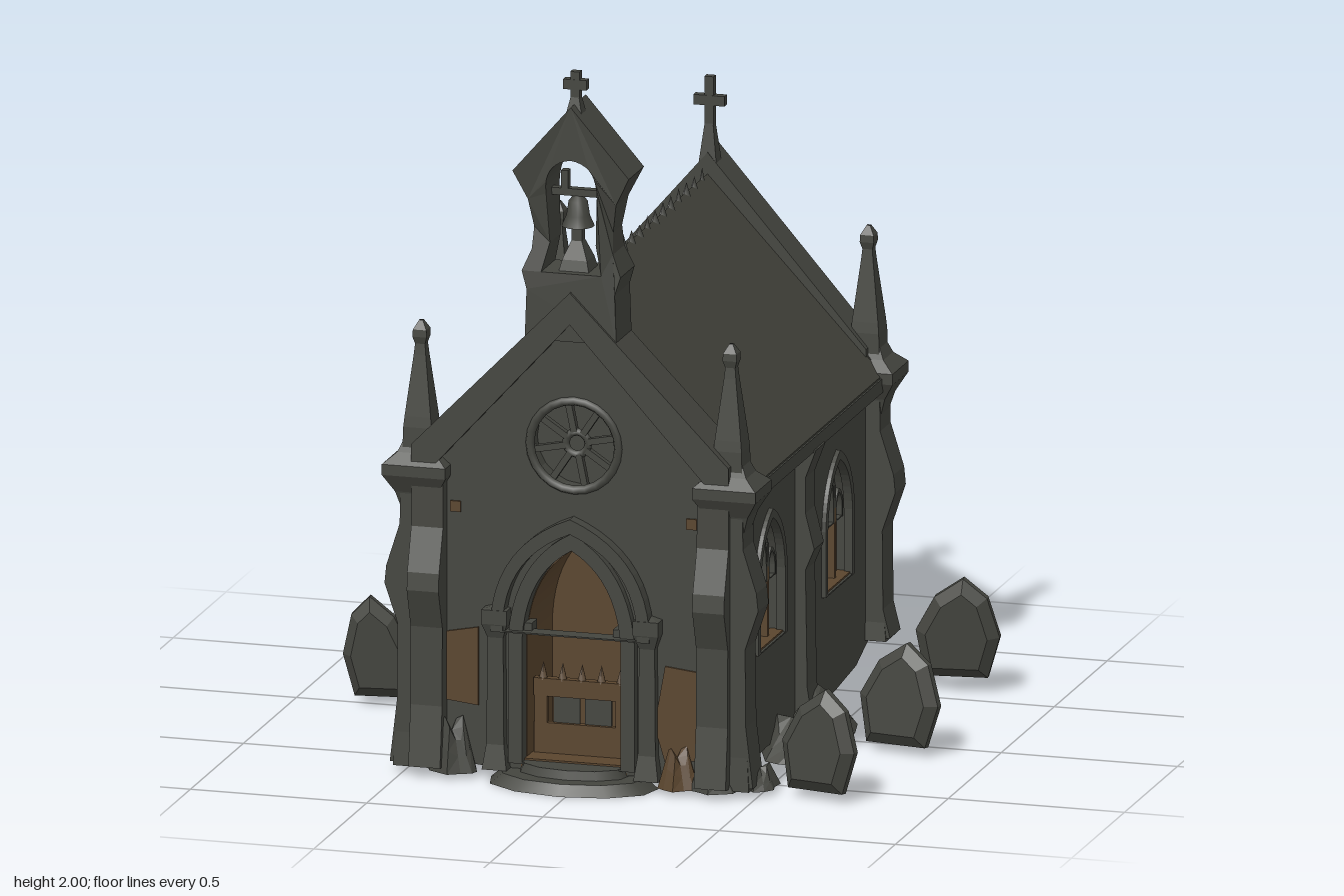
import * as THREE from 'three';

const mat = (name, color) => new THREE.MeshStandardMaterial({ name, color, side: THREE.DoubleSide });
const stone = mat('stone', 0x44453f);
const slate = mat('roofSlate', 0x42433b);
const glow = mat('warmBrown', 0x5a452e);

// Seeded random
let seed = 7;
const rnd = () => (seed = (seed * 16807) % 2147483647) / 2147483647;

const add = (parent, name, geo, m, x = 0, y = 0, z = 0) => {
  const mesh = new THREE.Mesh(geo, m);
  mesh.name = name;
  mesh.position.set(x, y, z);
  parent.add(mesh);
  return mesh;
};
const box = (parent, name, m, w, h, d, x, y, z) => add(parent, name, new THREE.BoxGeometry(w, h, d), m, x, y, z);
const poly = pts => new THREE.Shape(pts.map(p => new THREE.Vector2(p[0], p[1])));
const extrude = (shape, depth) => new THREE.ExtrudeGeometry(shape, { depth, bevelEnabled: false, curveSegments: 10 });

// Pointed arch centred on x, from y0 up to top
function arch(x, w, y0, spring, top, Type = THREE.Shape) {
  const s = new Type();
  const k = spring + (top - spring) * 0.72;
  s.moveTo(x - w, y0);
  s.lineTo(x + w, y0);
  s.lineTo(x + w, spring);
  s.quadraticCurveTo(x + w * 0.92, k, x, top);
  s.quadraticCurveTo(x - w * 0.92, k, x - w, spring);
  s.closePath();
  return s;
}
function archRing(x, w, t, y0, spring, top) {
  const s = arch(x, w + t, y0, spring, top + t * 1.2);
  s.holes.push(arch(x, w, y0 + 0.004, spring, top, THREE.Path));
  return s;
}
function circle(x, y, r) {
  const c = new THREE.Path();
  c.absarc(x, y, r, 0, Math.PI * 2);
  return c;
}
const turned = (pts, n) => new THREE.LatheGeometry(pts.map(p => new THREE.Vector2(p[0], p[1])), n, Math.PI / 4);
// Four-sided turned shape from [halfWidth, y] pairs
function square(pts) {
  const g = turned(pts.map(p => [p[0] * Math.SQRT2, p[1]]), 4).toNonIndexed();
  g.computeVertexNormals();
  return g;
}

function cross(parent, x, y, z, h) {
  add(parent, 'crossFoot', square([[0.025, y], [0.012, y + h * 0.45]]), stone, x, 0, z);
  box(parent, 'crossUpright', stone, 0.026, h, 0.022, x, y + h / 2, z);
  box(parent, 'crossArms', stone, 0.04 + h * 0.2, 0.028, 0.024, x, y + h * 0.72, z);
}

// Stepped buttress with a sloped shoulder, projecting along local +x
function buttress(parent, x, z, angle, w, foot) {
  const p = poly([[-0.05, foot], [0.04, foot + 0.01], [0.02, 0.2], [0.018, 0.42], [0.055, 0.53], [0.05, 0.58], [0.012, 0.7], [0.01, 0.83], [-0.05, 0.83]]);
  const g = extrude(p, w);
  g.translate(0, 0, -w / 2);
  const m = add(parent, 'buttress', g, stone, x, 0, z);
  m.rotation.y = angle;
}

// Irregular mound of fallen rubble
function mound(parent, x, z, rx, h, rz, m = stone) {
  const g = new THREE.CylinderGeometry(0.45, 1, 1, 11, 2).toNonIndexed();
  const p = g.attributes.position;
  for (let i = 0; i < p.count; i++) {
    const a = Math.atan2(p.getZ(i), p.getX(i));
    const k = 1 + 0.13 * Math.sin(a * 3 + x * 9) + 0.1 * Math.cos(a * 5 + z * 7);
    p.setXYZ(i, p.getX(i) * k * rx, (p.getY(i) + 0.5) * h * (1 + 0.3 * Math.sin(a * 2 + z * 5)), p.getZ(i) * k * rz);
  }
  g.computeVertexNormals();
  add(parent, 'rubble', g, m, x, 0.015, z);
}

export function createModel() {
  seed = 7;
  const root = new THREE.Group();
  const chapel = new THREE.Group();
  chapel.name = 'chapel';
  chapel.position.x = -0.02;
  root.add(chapel);

  // Front gable wall with door and rose openings
  const gable = [[0.46, 0.9], [0, 1.36], [-0.46, 0.9]];
  const front = poly([[-0.46, 0.05], [-0.25, 0.03], [0, 0.02], [0.25, 0.04], [0.46, 0.05], ...gable]);
  front.holes.push(arch(0, 0.14, 0.05, 0.4, 0.66, THREE.Path), circle(0, 0.95, 0.125));
  add(chapel, 'frontWall', extrude(front, 0.1), stone, 0, 0, 0.54);

  // Back gable wall with a worn lower edge and a shallow round dent
  const back = poly([[-0.46, 0.12], [-0.3, 0.09], [-0.1, 0.11], [0.1, 0.09], [0.25, 0.12], [0.46, 0.11], ...gable]);
  back.holes.push(circle(0, 1.03, 0.1));
  add(chapel, 'backWall', extrude(back, 0.08), stone, 0, 0, -0.71);
  const dent = add(chapel, 'backDent', turned([[0, 0.045], [0.05, 0.036], [0.085, 0.014], [0.102, 0]], 20), stone, 0, 1.03, -0.71);
  dent.rotation.x = Math.PI / 2;

  // Gable copings
  const coping = top => poly([[0, top], [0.45, 0.93], [0.45, 0.86], [0.4, 0.86], [0, top - 0.09], [-0.4, 0.86], [-0.45, 0.86], [-0.45, 0.93]]);
  add(chapel, 'frontCoping', extrude(coping(1.39), 0.15), stone, 0, 0, 0.53);
  add(chapel, 'backCoping', extrude(coping(1.45), 0.11), stone, 0, 0, -0.73);
  cross(chapel, 0, 1.42, -0.645, 0.24);

  // Doorway: warm lined recess, mouldings and low gate
  add(chapel, 'doorMoulding', extrude(archRing(0, 0.14, 0.04, 0.05, 0.4, 0.66), 0.03), stone, 0, 0, 0.635);
  add(chapel, 'doorHood', extrude(archRing(0, 0.19, 0.035, 0.42, 0.46, 0.71), 0.05), stone, 0, 0, 0.63);
  add(chapel, 'doorLining', extrude(archRing(0, 0.139, 0.012, 0.05, 0.4, 0.655), 0.25), glow, 0, 0, 0.37);
  add(chapel, 'doorBack', extrude(arch(0, 0.145, 0.05, 0.4, 0.66), 0.008), glow, 0, 0, 0.37);
  box(chapel, 'porchFloor', glow, 0.3, 0.03, 0.28, 0, 0.045, 0.5);
  box(chapel, 'gateRail', glow, 0.27, 0.05, 0.025, 0, 0.245, 0.56);
  box(chapel, 'gateBase', glow, 0.27, 0.09, 0.02, 0, 0.1, 0.56);
  for (let i = -2; i <= 2; i++) {
    add(chapel, 'gateSpike', new THREE.ConeGeometry(0.014, 0.05, 5), glow, i * 0.055, 0.29, 0.56);
  }
  for (const s of [-1, 1]) {
    box(chapel, 'gatePost', glow, 0.035, 0.2, 0.02, s * 0.115, 0.15, 0.56);
    box(chapel, 'gatePanel', stone, 0.075, 0.09, 0.008, s * 0.045, 0.18, 0.555);
    box(chapel, 'archCorbel', stone, 0.03, 0.03, 0.05, s * 0.13, 0.43, 0.63);
    add(chapel, 'doorPier', square([[0.035, 0.03], [0.025, 0.1], [0.022, 0.4], [0.036, 0.44], [0.036, 0.48], [0, 0.49]]), stone, s * 0.215, 0, 0.645);
  }

  // Rose window
  add(chapel, 'roseBack', new THREE.CircleGeometry(0.13, 24), stone, 0, 0.95, 0.57);
  add(chapel, 'roseRim', new THREE.TorusGeometry(0.126, 0.013, 6, 24), stone, 0, 0.95, 0.637);
  add(chapel, 'roseHub', new THREE.TorusGeometry(0.032, 0.011, 6, 12), stone, 0, 0.95, 0.61);
  for (let i = 0; i < 8; i++) {
    const a = i * Math.PI / 4 + 0.2;
    const spoke = box(chapel, 'roseSpoke', stone, 0.09, 0.018, 0.02, Math.cos(a) * 0.078, 0.95 + Math.sin(a) * 0.078, 0.61);
    spoke.rotation.z = a;
  }

  // Warm weathered patches on the front wall
  add(chapel, 'leftPatch', extrude(poly([[0.26, 0.08], [0.43, 0.1], [0.42, 0.22], [0.36, 0.2], [0.35, 0.34], [0.26, 0.35], [0.23, 0.18]]), 0.006), glow, 0, 0, 0.64);
  add(chapel, 'rightPatch', extrude(poly([[-0.36, 0.21], [-0.27, 0.2], [-0.27, 0.42], [-0.37, 0.4]]), 0.006), glow, 0, 0, 0.64);
  for (const s of [-1, 1]) box(chapel, 'smallPatch', glow, 0.03, 0.03, 0.006, s * 0.335, 0.755, 0.643);

  // Side walls, built facing local +z
  for (const s of [-1, 1]) {
    const side = new THREE.Group();
    side.name = s > 0 ? 'leftSide' : 'rightSide';
    side.rotation.y = s * Math.PI / 2;
    chapel.add(side);
    const zs = [0.28, -0.355].map(z => -s * z);
    const e0 = -s * 0.6, e1 = s * 0.68;
    const wall = poly([[e0, 0.03], [e0 * 0.5, 0.05], [0, 0.03], [e1 * 0.5, 0.04], [e1 * 0.8, 0.06], [e1, 0.11], [e1, 0.84], [e0, 0.84]]);
    for (const x of zs) wall.holes.push(arch(x, 0.125, 0.34, 0.52, 0.71, THREE.Path));
    add(side, 'sideWall', extrude(wall, 0.07), stone, 0, 0, 0.375);
    for (const x of zs) {
      add(side, 'windowFrame', extrude(archRing(x, 0.115, 0.022, 0.335, 0.52, 0.69), 0.025), stone, 0, 0, 0.432);
      add(side, 'windowUpper', extrude(arch(x, 0.125, 0.52, 0.53, 0.71), 0.008), stone, 0, 0, 0.4);
      box(side, 'windowLower', glow, 0.25, 0.2, 0.008, x, 0.43, 0.404);
      box(side, 'windowSill', glow, 0.26, 0.012, 0.04, x, 0.338, 0.43);
      for (const d of [-0.042, 0.042]) {
        box(side, 'mullionLower', glow, 0.014, 0.2, 0.02, x + d, 0.44, 0.42);
        box(side, 'mullionUpper', stone, 0.014, 0.07, 0.02, x + d, 0.57, 0.42);
      }
      for (const d of [-0.08, 0, 0.08]) {
        add(side, 'lancet', extrude(archRing(x + d, 0.026, 0.01, 0.5, 0.53, d ? 0.575 : 0.63), 0.02), stone, 0, 0, 0.41);
      }
    }
    // Middle pilaster, cornice and drip fringe
    add(side, 'pilaster', extrude(poly([[0.4, 0.02], [0.5, 0.02], [0.48, 0.15], [0.475, 0.48], [0.5, 0.54], [0.475, 0.64], [0.475, 0.74], [0.505, 0.82], [0.4, 0.83]]), 0.09), stone, 0.045 + s * 0.01, 0, 0).rotation.y = -Math.PI / 2;
    box(side, 'cornice', stone, 1.22, 0.04, 0.07, s * 0.04, 0.835, 0.465);
    for (let i = 0; i < 10; i++) {
      const c = add(side, 'drip', new THREE.ConeGeometry(0.03, 0.03, 4), stone, s * 0.04 - 0.54 + i * 0.12, 0.802, 0.445);
      c.rotation.x = Math.PI;
    }

    // Corner piers with caps and pinnacles; the back pair stop higher above the ground
    for (const [z, f, foot] of [[0.615, 1, 0.02], [-0.68, -1, 0.11]]) {
      const pier = square([[0.065, foot], [0.052, 0.22], [0.045, 0.5], [0.045, 0.74], [0.06, 0.79], [0.09, 0.84], [0.09, 0.87], [0.055, 0.9], [0.042, 0.93]]);
      pier.scale(1, 1, 0.85);
      add(chapel, 'cornerPier', pier, stone, s * 0.44, 0, z);
      add(chapel, 'pinnacle', square([[0.042, 0.9], [0.04, 0.97], [0.037, 1.0], [0.03, 1.06], [0.017, 1.17], [0.014, 1.2], [0.02, 1.22], [0.019, 1.24], [0.005, 1.265]]), stone, s * 0.44, 0, z);
      buttress(chapel, s * 0.475, z, s > 0 ? 0 : Math.PI, 0.1, foot);
      buttress(chapel, s * 0.405, z + f * 0.052, -f * Math.PI / 2, 0.09, foot);
    }
  }

  // Roof and jagged ridge crest
  const roof = poly([[0, 1.39], [0.495, 0.86], [0.495, 0.825], [0, 1.35], [-0.495, 0.825], [-0.495, 0.86]]);
  add(chapel, 'roof', extrude(roof, 1.18), slate, 0, 0, -0.63);
  for (let i = 0; i < 15; i++) {
    const c = add(chapel, 'ridgeCrest', new THREE.ConeGeometry(0.025 + rnd() * 0.015, 0.035 + rnd() * 0.02, 4), stone, 0, 1.395, -0.57 + i * 0.074);
    c.scale.x = 0.4;
  }

  // Bell gable: waisted in depth, flared at the head
  const tower = poly([[-0.13, 1.25], [0.13, 1.25], [0.125, 1.39], [0.14, 1.44], [0.115, 1.5], [0.112, 1.56], [0.125, 1.64], [0.165, 1.72], [0, 1.91], [-0.165, 1.72], [-0.125, 1.64], [-0.112, 1.56], [-0.115, 1.5], [-0.14, 1.44], [-0.125, 1.39]]);
  const opening = new THREE.Path();
  opening.moveTo(-0.085, 1.44);
  opening.lineTo(0.085, 1.44);
  opening.lineTo(0.065, 1.52);
  opening.lineTo(0.07, 1.64);
  opening.quadraticCurveTo(0.085, 1.75, 0, 1.76);
  opening.quadraticCurveTo(-0.085, 1.75, -0.07, 1.64);
  opening.lineTo(-0.065, 1.52);
  tower.holes.push(opening);
  const tg = extrude(tower, 1);
  const tp = tg.attributes.position;
  for (let i = 0; i < tp.count; i++) {
    const t = THREE.MathUtils.clamp(Math.abs(tp.getY(i) - 1.56) / 0.14, 0, 1);
    tp.setZ(i, (tp.getZ(i) - 0.5) * 2 * (0.042 + 0.03 * t));
  }
  tg.computeVertexNormals();
  add(chapel, 'bellGable', tg, stone, 0, 0, 0.6);
  cross(chapel, 0, 1.87, 0.62, 0.13);
  // Bell, yoke and pedestal
  add(chapel, 'bell', turned([[0.045, 1.56], [0.032, 1.59], [0.026, 1.63], [0.01, 1.65], [0, 1.65]], 12), stone, 0, 0, 0.6);
  box(chapel, 'bellYoke', stone, 0.15, 0.02, 0.025, 0, 1.655, 0.6);
  box(chapel, 'bellLever', stone, 0.02, 0.07, 0.025, -0.035, 1.68, 0.6);
  add(chapel, 'bellPedestal', square([[0.045, 1.43], [0.035, 1.47], [0.015, 1.52], [0.015, 1.57]]), stone, 0, 0, 0.6);

  // Front steps
  for (const [rx, rz, h, z] of [[0.24, 0.14, 0.03, 0.65], [0.17, 0.09, 0.055, 0.64]]) {
    const g = new THREE.CylinderGeometry(0.85, 1, h, 11);
    g.scale(rx, 1, rz);
    add(chapel, 'doorStep', g, stone, 0, h / 2, z);
  }

  // Rubble along the walls: [x, z, radius x, height, radius z]
  for (const r of [[-0.52, -0.14, 0.11, 0.08, 0.12], [-0.53, 0.12, 0.1, 0.08, 0.22], [-0.52, 0.38, 0.06, 0.05, 0.1], [0.48, 0.0, 0.1, 0.1, 0.18], [0.47, 0.22, 0.08, 0.08, 0.13], [0.38, 0.66, 0.07, 0.08, 0.04], [-0.36, 0.66, 0.07, 0.12, 0.04], [0.49, 0.58, 0.05, 0.05, 0.06], [-0.56, 0.02, 0.08, 0.05, 0.07]]) mound(root, ...r);
  mound(root, 0.28, 0.66, 0.06, 0.09, 0.04, glow);

  // Leaning gravestones with worn, thinning edges
  const slab = poly([[-0.09, 0], [0.09, 0.01], [0.12, 0.13], [0.08, 0.24], [0.01, 0.29], [-0.07, 0.23], [-0.12, 0.13]]);
  for (const [x, y, z, turn, sx, lean] of [[-0.735, 0.03, -0.575, -0.12, 1, 0.08], [-0.76, 0.02, 0, 0.15, -0.78, 0.05], [0.7, 0.04, -0.58, 0.1, 0.97, 0.1], [0.73, 0.02, 0.085, -0.2, 1, -0.08], [0.66, 0.02, 0.61, -0.25, 0.95, -0.06]]) {
    const g = new THREE.ExtrudeGeometry(slab, { depth: 0.02, bevelThickness: 0.024, bevelSize: 0.03, bevelOffset: -0.03, bevelSegments: 1 });
    g.translate(0, 0, -0.01);
    const m = add(root, 'gravestone', g, stone, x, y, z);
    m.rotation.set(lean, turn, x > 0 ? -0.06 : 0.06);
    m.scale.x = sx;
  }
  return root;
}
